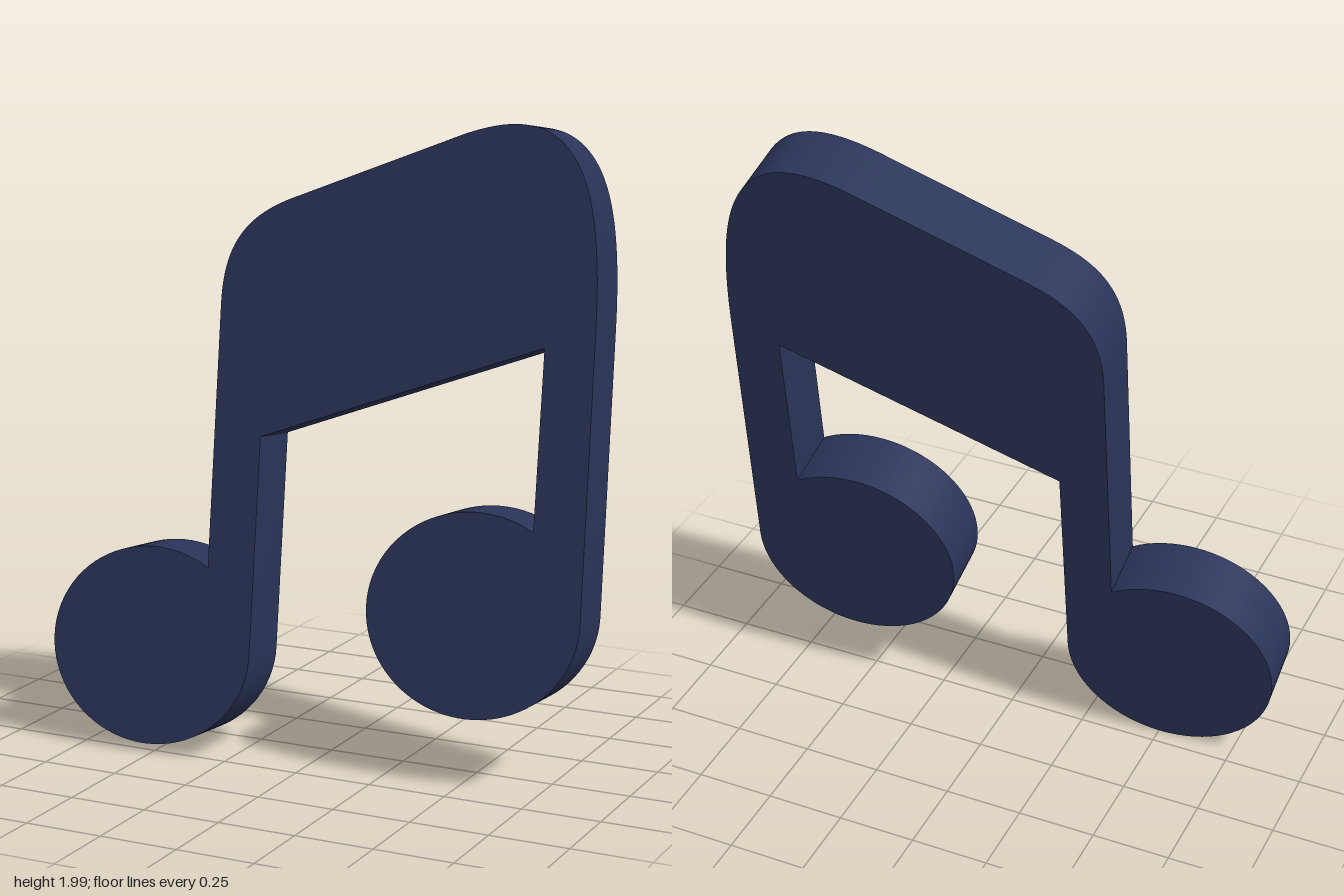
import * as THREE from 'three';
import { toCreasedNormals } from 'three/addons/utils/BufferGeometryUtils.js';

// Oval note head, swept clockwise from the outer stem edge to the inner one
function addHead(shape, cx, cy, stemX) {
  const rx = 0.337, ry = 0.312;
  shape.lineTo(cx + rx, cy);
  shape.absellipse(cx, cy, rx, ry, 0, Math.acos((stemX - cx) / rx), true, 0);
}

export function createModel() {
  const group = new THREE.Group();
  group.name = 'musicNote';

  const outline = new THREE.Shape();
  // Rounded beam with a sloping top
  outline.moveTo(-0.337, 1.42);
  outline.bezierCurveTo(-0.337, 1.6, -0.27, 1.69, -0.12, 1.75);
  outline.lineTo(0.38, 1.945);
  outline.bezierCurveTo(0.55, 2.015, 0.66, 2.01, 0.735, 1.935);
  outline.bezierCurveTo(0.81, 1.86, 0.855, 1.72, 0.858, 1.4);
  // Left stem and head, sloping underside of the beam, right stem and head
  addHead(outline, 0.53, 0.535, 0.706);
  outline.lineTo(0.706, 1.345);
  outline.lineTo(-0.183, 1.02);
  addHead(outline, -0.52, 0.34, -0.337);
  outline.closePath();

  const geometry = new THREE.ExtrudeGeometry(outline, {
    depth: 1, bevelEnabled: false, curveSegments: 32,
  });

  // Lean the slab back and turn it slightly; the third axis is its thickness
  const turn = 0.0805, lean = 0.1235, thick = 0.22;
  const across = new THREE.Vector3(1, 0, -turn);
  const up = new THREE.Vector3(0, 1, -lean);
  const through = new THREE.Vector3(turn, lean, 1).multiplyScalar(thick);
  const tilt = new THREE.Matrix4().makeBasis(across, up, through);
  tilt.setPosition(-through.x, -through.y, 0.2355 - through.z);
  geometry.applyMatrix4(tilt);

  const note = new THREE.Mesh(
    toCreasedNormals(geometry, 0.5),
    new THREE.MeshStandardMaterial({ color: 0x2a3459 }),
  );
  note.name = 'beamedNote';
  group.add(note);
  return group;
}
